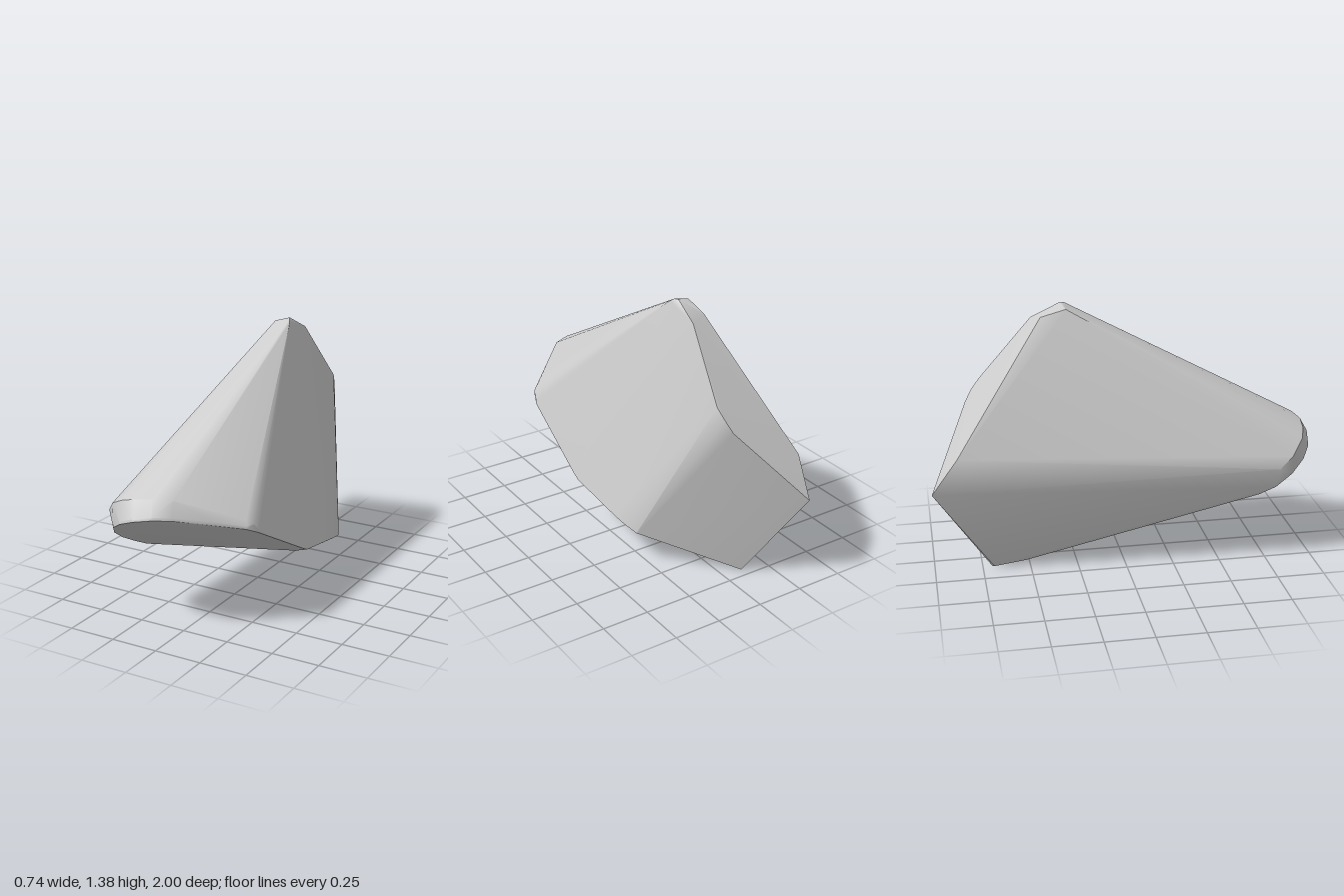
import * as THREE from 'three';
import { ConvexGeometry } from 'three/addons/geometries/ConvexGeometry.js';

const toPoints = (list) => list.map(([x, y, z]) => new THREE.Vector3(x, y, z));

// Area-weighted normals: large faces stay flat, narrow bevels blend softly
function softenBevels(geometry, maxAngle) {
  const pos = geometry.attributes.position;
  const corners = [];
  for (let i = 0; i < pos.count; i += 3) {
    const [a, b, c] = [0, 1, 2].map((k) => new THREE.Vector3().fromBufferAttribute(pos, i + k));
    const weighted = b.clone().sub(a).cross(c.clone().sub(a));
    const unit = weighted.clone().normalize();
    for (const point of [a, b, c]) corners.push({ point, weighted, unit });
  }
  const limit = Math.cos(maxAngle);
  const normals = corners.flatMap((corner) => {
    const sum = new THREE.Vector3();
    for (const other of corners) {
      const shared = corner.point.distanceToSquared(other.point) < 1e-10;
      if (shared && corner.unit.dot(other.unit) >= limit) sum.add(other.weighted);
    }
    return sum.normalize().toArray();
  });
  geometry.setAttribute('normal', new THREE.Float32BufferAttribute(normals, 3));
  return geometry;
}

export function createModel() {
  const group = new THREE.Group();
  group.name = 'facetedStone';
  const gray = new THREE.MeshStandardMaterial({ color: 0xcccccc });
  gray.name = 'stone gray';

  // Peak: short blunt ridge at the top
  const peak = [
    [-0.05, 1.365, -0.28], [-0.05, 1.33, -0.41],
    [0.025, 1.385, -0.3], [0.035, 1.382, -0.28], [0.046, 1.367, -0.26], [0.04, 1.31, -0.45],
  ];

  // Upper rim of the rounded nose
  const noseTop = [
    [-0.37, 0.55, 0.78], [-0.352, 0.61, 0.85], [-0.28, 0.68, 0.92],
    [-0.21, 0.713, 0.942], [-0.13, 0.735, 0.95], [-0.04, 0.745, 0.93],
    [0.05, 0.74, 0.89], [0.31, 0.615, 0.66], [0.335, 0.59, 0.632],
  ];

  // Lower rim of the nose, where it meets the underside
  const noseBottom = [
    [-0.28, 0.37, 0.64], [-0.315, 0.395, 0.69], [-0.338, 0.44, 0.77],
    [-0.32, 0.5, 0.86], [-0.27, 0.56, 0.935], [-0.2, 0.605, 0.98],
    [-0.11, 0.64, 1], [-0.02, 0.655, 0.975], [0.06, 0.65, 0.92],
    [0.2, 0.615, 0.79], [0.32, 0.575, 0.675], [0.347, 0.54, 0.605],
  ];

  // Thin bevel just above the lower rim
  const noseBevel = noseBottom.map(([x, y, z]) => [x, y + 0.015, z - 0.002]);

  // Right flank and its rounded rear edge
  const flank = [
    [0.365, 0.31, 0.18], [0.365, 0.285, 0.13],
    [0.345, 0.225, -0.2], [0.332, 0.205, -0.28], [0.31, 0.185, -0.36],
    [0.085, 0.985, -0.72], [0.07, 0.93, -0.765], [0.045, 0.87, -0.8],
  ];

  // Shallow crease across the underside
  const crease = [[0.305, 0.27, 0.14], [0.29, 0.258, 0.1]];

  // Back corner and pointed foot
  const back = [
    [-0.28, 0.5, -1], [-0.27, 0.51, -0.995], [-0.305, 0.69, -0.87],
    [-0.13, 0.03, -0.52], [-0.125, 0.005, -0.69], [-0.11, 0, -0.7],
  ];

  const hull = new ConvexGeometry(toPoints(
    [...peak, ...noseTop, ...noseBottom, ...noseBevel, ...flank, ...crease, ...back]));
  const body = new THREE.Mesh(softenBevels(hull, Math.PI / 6), gray);
  body.name = 'body';
  group.add(body);
  return group;
}
